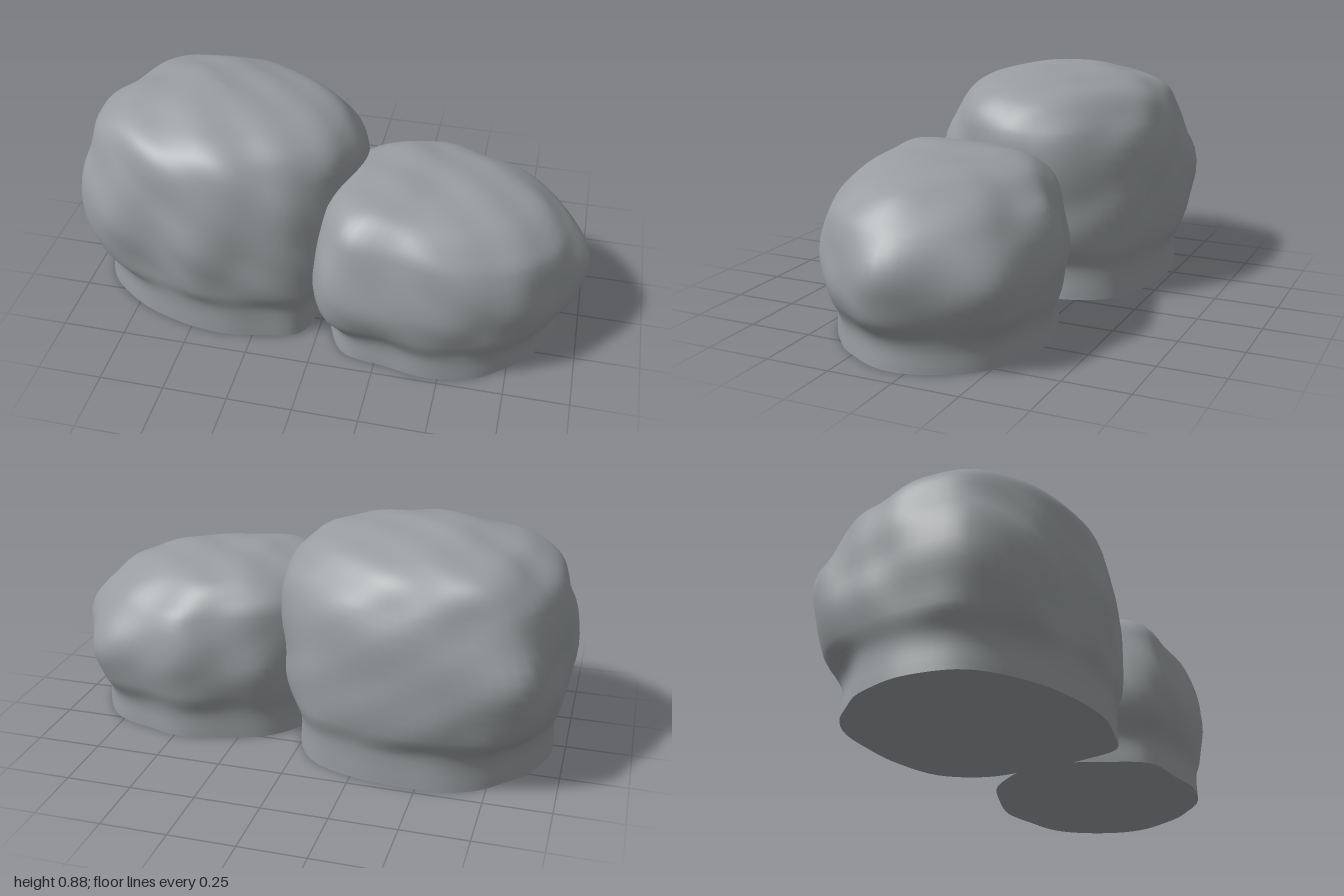
import * as THREE from 'three';

const SIDES = 80, RINGS = 54;

// Smooth lumps from a few crossed waves, roughly -1..1
function lumps(x, y, z, seed) {
  return 0.45 * Math.sin(8 * x + 9 * y + seed) * Math.cos(9 * z - 9 * y + 2 * seed)
    + 0.25 * Math.sin(19 * y + 9 * z - 6 * x + seed)
    + 0.35 * Math.sin(20 * x - 13 * z + 10 * y) * Math.cos(21 * y + 13 * z + seed);
}

// Boulder from three cross-sections, each given as radii at even angles from +x
// towards +z; the crown shrinks the shoulder section to a point
function makeBoulder({ name, center: [cx, cz], skirt, base, middleY, middle, shoulder, crown, tilt, seed }) {
  // One upright curve per angle, swelling out quickly above the straight skirt
  const columns = base.map((r, i) => {
    const a = (i / base.length) * Math.PI * 2;
    const at = (radius, y) => new THREE.Vector3(Math.cos(a) * radius, y, Math.sin(a) * radius);
    return new THREE.CatmullRomCurve3([
      at(r, 0), at(r, skirt),
      at(THREE.MathUtils.lerp(r, middle[i], 0.68), skirt + 0.09),
      at(middle[i], middleY),
      ...crown.map(([y, s]) => at(shoulder[i] * s, y)),
    ]);
  });

  // Rings through the columns, roughened with lumps
  const positions = [], index = [];
  for (let r = 0; r <= RINGS; r++) {
    const ring = new THREE.CatmullRomCurve3(columns.map((c) => c.getPoint(r / RINGS)), true);
    for (let i = 0; i < SIDES; i++) {
      const { x, y, z } = ring.getPoint(i / SIDES);
      const n = lumps(x, Math.max(y, skirt), z, seed);
      const k = 1 + 0.024 * n;
      const top = THREE.MathUtils.smoothstep(y, 0.3, 0.62);
      const lift = top * (tilt[0] * x + tilt[1] * z + 0.012 * n);
      positions.push(cx + x * k, Math.max(0, y + lift), cz + z * k);
    }
  }
  for (let r = 0; r < RINGS; r++) {
    for (let i = 0; i < SIDES; i++) {
      const a = r * SIDES + i, b = r * SIDES + (i + 1) % SIDES;
      index.push(a, b + SIDES, b, a, a + SIDES, b + SIDES);
    }
  }

  // Flat underside with its own vertices, so the rim stays sharp
  const rim = positions.length / 3;
  positions.push(...positions.slice(0, SIDES * 3), cx, 0, cz);
  for (let i = 0; i < SIDES; i++) index.push(rim + SIDES, rim + i, rim + (i + 1) % SIDES);

  const geometry = new THREE.BufferGeometry();
  geometry.setAttribute('position', new THREE.Float32BufferAttribute(positions, 3));
  geometry.setIndex(index);
  geometry.computeVertexNormals();
  // The top ring is a single point, so it shares one normal
  for (let i = 0; i < SIDES; i++) geometry.attributes.normal.setXYZ(RINGS * SIDES + i, 0, 1, 0);

  const mesh = new THREE.Mesh(geometry, new THREE.MeshStandardMaterial({ color: 0x999d9f }));
  mesh.name = name;
  return mesh;
}

export function createModel() {
  const group = new THREE.Group();
  group.name = 'boulders';

  group.add(makeBoulder({
    name: 'largeBoulder',
    center: [-0.45, -0.02],
    skirt: 0.13,
    base: [0.45, 0.47, 0.53, 0.46, 0.43, 0.42, 0.45, 0.49, 0.5, 0.5, 0.48, 0.48, 0.46, 0.47, 0.51, 0.5],
    middleY: 0.43,
    middle: [0.56, 0.55, 0.56, 0.49, 0.475, 0.455, 0.54, 0.58, 0.55, 0.55, 0.61, 0.54, 0.5, 0.5, 0.54, 0.56],
    shoulder: [0.55, 0.53, 0.49, 0.45, 0.43, 0.43, 0.46, 0.51, 0.52, 0.51, 0.53, 0.47, 0.45, 0.46, 0.49, 0.54],
    crown: [[0.67, 1], [0.76, 0.89], [0.81, 0.74], [0.845, 0.52], [0.87, 0.28], [0.88, 0]],
    tilt: [0, 0.02], seed: 1.3,
  }));

  group.add(makeBoulder({
    name: 'smallBoulder',
    center: [0.46, 0.06],
    skirt: 0.1,
    base: [0.46, 0.44, 0.42, 0.42, 0.42, 0.43, 0.5, 0.48, 0.48, 0.46, 0.43, 0.39, 0.39, 0.39, 0.43, 0.44],
    middleY: 0.32,
    middle: [0.55, 0.5, 0.48, 0.46, 0.46, 0.48, 0.58, 0.53, 0.49, 0.48, 0.46, 0.42, 0.44, 0.44, 0.51, 0.5],
    shoulder: [0.48, 0.46, 0.44, 0.42, 0.42, 0.43, 0.52, 0.5, 0.47, 0.46, 0.43, 0.38, 0.39, 0.38, 0.42, 0.44],
    crown: [[0.5, 1], [0.56, 0.89], [0.61, 0.73], [0.64, 0.5], [0.655, 0.25], [0.66, 0]],
    tilt: [-0.08, 0.04], seed: 4.1,
  }));

  return group;
}
